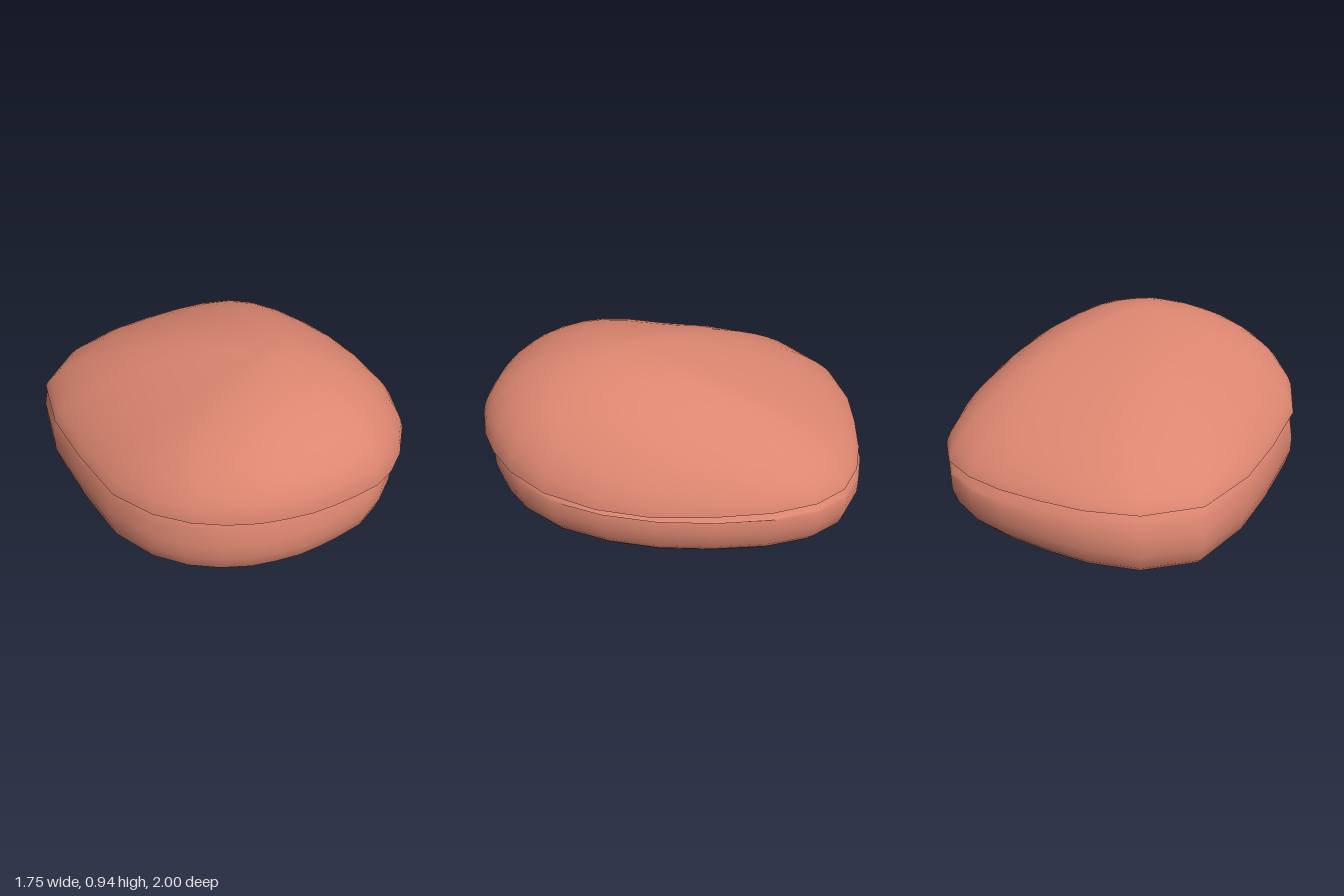
import * as THREE from 'three';
import { mergeVertices } from 'three/addons/utils/BufferGeometryUtils.js';

// Plan outline [x, z], from the back round by +x to the front and back by -x
const OUTLINE = [
  [0.18, -1], [0.37, -0.96], [0.52, -0.85], [0.65, -0.66], [0.76, -0.4], [0.84, -0.13], [0.87, 0.13],
  [0.85, 0.4], [0.77, 0.61], [0.66, 0.76], [0.54, 0.87], [0.42, 0.94], [0.29, 0.97], [0.17, 0.99],
  [0.05, 1], [-0.08, 0.99], [-0.2, 0.97], [-0.34, 0.92], [-0.48, 0.84], [-0.62, 0.71], [-0.75, 0.49],
  [-0.83, 0.13], [-0.88, -0.2], [-0.86, -0.54], [-0.68, -0.77], [-0.45, -0.89], [-0.23, -0.95], [-0.02, -0.99],
];
const place = (scale, shift) => OUTLINE.map(([x, z]) => [x * scale + shift, z * scale + shift]);
const UPPER = place(0.99, 0.01);
const LOWER = place(0.985, -0.01);

// Height of the seam, which rises towards the front
const seamY = (x, z) =>
  0.43 + 0.1 * Math.pow(Math.max(0, (z + 0.05) / 1.05), 1.4) + 0.02 * Math.max(0, -x) * (z < 0.3 ? 1 : 0.4);

// Closed surface through rings of points, listed from top to bottom
function loft(rings) {
  const n = rings[0].length;
  const index = [];
  for (let j = 0; j < rings.length - 1; j++) {
    for (let i = 0; i < n; i++) {
      const k = (i + 1) % n;
      const a = j * n + i, b = j * n + k, c = a + n, d = b + n;
      index.push(a, d, c, a, b, d);
    }
  }
  const geometry = new THREE.BufferGeometry();
  geometry.setAttribute('position', new THREE.Float32BufferAttribute(rings.flat(2), 3));
  geometry.setIndex(index);
  const merged = mergeVertices(geometry, 1e-5);
  merged.computeVertexNormals();
  return merged;
}

// Domed top: off-centre peak, fuller at the front than at the back
function domeGeometry() {
  const [cx, cz, top] = [0.17, 0.27, 0.94];
  const rings = [];
  for (let j = 0; j <= 14; j++) {
    const s = Math.sin((j / 14) * Math.PI / 2);
    rings.push(UPPER.map(([x, z]) => {
      const len = Math.hypot(x - cx, z - cz);
      const right = Math.max(0, (x - cx) / len), front = Math.max(0, (z - cz) / len);
      const a = 1.7 + 0.2 * Math.max(right, front);
      const b = 0.7 - 0.2 * front - 0.05 * right;
      const rim = seamY(x, z);
      const h = Math.pow(Math.max(0, 1 - Math.pow(s, a)), b);
      return [cx + (x - cx) * s, rim + (top - rim) * h, cz + (z - cz) * s];
    }));
  }
  return loft(rings);
}

// Narrow underside of the overhanging dome edge
function lipGeometry() {
  return loft([1, 0.92].map((s) => UPPER.map(([x, z]) => [x * s, seamY(x, z), z * s])));
}

// Rounded base: [ring scale, height], tilted slightly up towards +x and +z
function baseGeometry() {
  const profile = [[1, 0.36], [1, 0.28], [0.975, 0.2], [0.94, 0.16], [0.89, 0.12], [0.8, 0.08],
    [0.62, 0.032], [0.35, 0.018], [0, 0.012]];
  const rings = [[0.93, 0.02], [0.965, -0.01], [0.985, -0.06]].map(([s, dy]) =>
    LOWER.map(([x, z]) => [x * s, seamY(x, z) + dy, z * s]));
  for (const [s, y] of profile) {
    rings.push(LOWER.map(([x, z]) => [x * s, Math.max(0, y + (0.04 * x + 0.015 * z) * s), z * s]));
  }
  return loft(rings);
}

export function createModel() {
  const coral = new THREE.MeshStandardMaterial({ color: 0xdc8670 });
  coral.name = 'coral';
  const model = new THREE.Group();
  model.name = 'pebble';
  const parts = { upperDome: domeGeometry(), domeLip: lipGeometry(), lowerBase: baseGeometry() };
  for (const [name, geometry] of Object.entries(parts)) {
    const mesh = new THREE.Mesh(geometry, coral);
    mesh.name = name;
    model.add(mesh);
  }
  return model;
}
